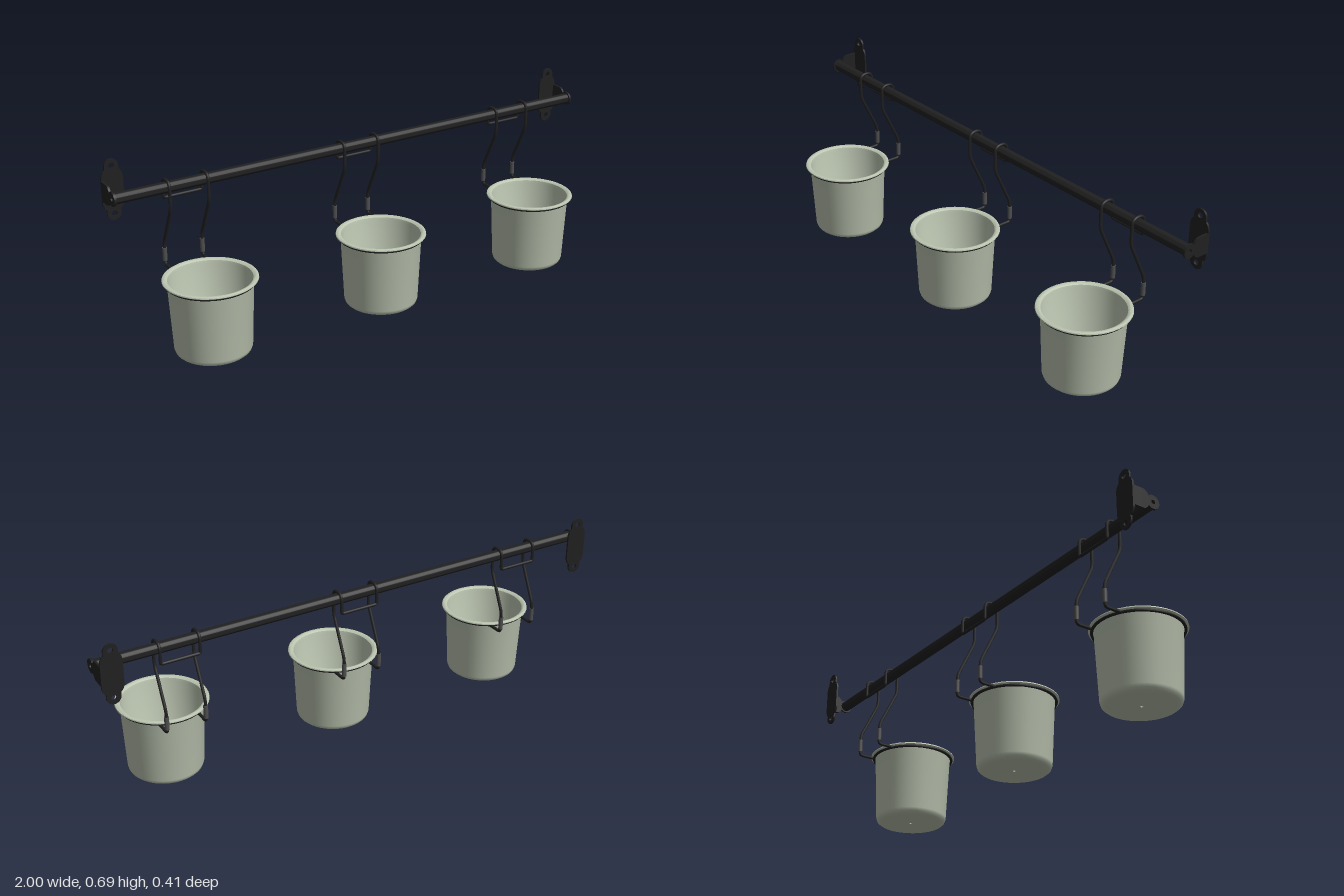
import * as THREE from 'three';
import { toCreasedNormals } from 'three/addons/utils/BufferGeometryUtils.js';

const black = new THREE.MeshStandardMaterial({ name: 'black metal', color: 0x202020 });
const grey = new THREE.MeshStandardMaterial({ name: 'grey sleeve', color: 0x4e4e4e });
const sage = new THREE.MeshStandardMaterial({ name: 'sage enamel', color: 0xbcc5b1 });

const ROD_Y = 0.582, ROD_Z = -0.12, RING_Y = 0.273, POT_Z = 0.038, HOOK_X = 0.074;

function add(parent, name, geometry, material, x = 0, y = 0, z = 0) {
  const mesh = new THREE.Mesh(geometry, material);
  mesh.name = name;
  mesh.position.set(x, y, z);
  parent.add(mesh);
  return mesh;
}

function lathe(profile, segments) {
  const points = profile.map(([r, y]) => new THREE.Vector2(r, y));
  return toCreasedNormals(new THREE.LatheGeometry(points, segments), 0.7);
}

// Polyline with rounded corners; each point is [x, y, z, cornerRadius]
function roundedPath(points) {
  const path = new THREE.CurvePath();
  const v = points.map(p => new THREE.Vector3(p[0], p[1], p[2]));
  let from = v[0];
  for (let i = 1; i < v.length - 1; i++) {
    const r = points[i][3];
    const a = v[i].clone().add(v[i - 1].clone().sub(v[i]).setLength(r));
    const b = v[i].clone().add(v[i + 1].clone().sub(v[i]).setLength(r));
    path.add(new THREE.LineCurve3(from, a));
    path.add(new THREE.QuadraticBezierCurve3(a, v[i], b));
    from = b;
  }
  path.add(new THREE.LineCurve3(from, v[v.length - 1]));
  return path;
}

function circleHole(shape, x, y, r) {
  shape.holes.push(new THREE.Path().absarc(x, y, r, 0, Math.PI * 2, true));
}

function plate(shape, depth) {
  return new THREE.ExtrudeGeometry(shape, { depth, bevelEnabled: false, curveSegments: 16 });
}

// Wall plate with two rounded screw tabs
function wallPlateShape() {
  const s = new THREE.Shape();
  s.moveTo(0.04, -0.045);
  s.lineTo(0.04, 0.045);
  s.quadraticCurveTo(0.036, 0.068, 0.026, 0.072);
  s.lineTo(0.026, 0.086);
  s.absarc(0, 0.086, 0.026, 0, Math.PI, false);
  s.lineTo(-0.026, 0.072);
  s.quadraticCurveTo(-0.036, 0.068, -0.04, 0.045);
  s.lineTo(-0.04, -0.045);
  s.quadraticCurveTo(-0.036, -0.068, -0.026, -0.072);
  s.lineTo(-0.026, -0.086);
  s.absarc(0, -0.086, 0.026, Math.PI, Math.PI * 2, false);
  s.lineTo(0.026, -0.072);
  s.quadraticCurveTo(0.036, -0.068, 0.04, -0.045);
  circleHole(s, 0, 0.088, 0.01);
  circleHole(s, 0, -0.088, 0.01);
  return s;
}

// Side arm: round eye around the rod end, flaring towards the wall
function armShape() {
  const s = new THREE.Shape();
  s.absarc(0, 0, 0.026, 0.75, Math.PI * 2 - 0.75, false);
  s.quadraticCurveTo(0.028, -0.037, 0.045, -0.037);
  s.lineTo(0.086, -0.037);
  s.lineTo(0.086, 0.037);
  s.lineTo(0.045, 0.037);
  s.quadraticCurveTo(0.028, 0.037, 0.019, 0.018);
  circleHole(s, 0, 0, 0.008);
  return s;
}

const potProfile = [
  [0.006, 0], [0.115, 0], [0.127, 0.003], [0.135, 0.01], [0.139, 0.022],
  [0.151, 0.268], [0.154, 0.276], [0.165, 0.276], [0.169, 0.279], [0.168, 0.283],
  [0.163, 0.286], [0.156, 0.285], [0.149, 0.28], [0.147, 0.27],
  [0.135, 0.024], [0.129, 0.011], [0.114, 0.006], [0.006, 0.006], [0.006, 0]
];

function hangingPot(x) {
  const group = new THREE.Group();
  group.name = 'hangingPot';
  group.position.x = x;
  add(group, 'pot', lathe(potProfile, 48), sage, 0, 0, POT_Z);

  // Wire ring under the rim
  const ring = new THREE.TorusGeometry(0.157, 0.0055, 8, 48).rotateX(Math.PI / 2);
  add(group, 'ring', ring, black, 0, RING_Y, POT_Z);

  // One bent wire: up from the ring, over the rod, across and back down
  const side = [
    [-HOOK_X, RING_Y, -0.1, 0], [-HOOK_X, RING_Y, -0.167, 0.014],
    [-HOOK_X, 0.357, -0.167, 0.02], [-HOOK_X, 0.51, -0.093, 0.02],
    [-HOOK_X, 0.609, -0.093, 0.027], [-HOOK_X, 0.609, -0.148, 0.027],
    [-HOOK_X, 0.534, -0.148, 0.008]
  ];
  const mirrored = side.map(([px, py, pz, r]) => [-px, py, pz, r]).reverse();
  const wire = new THREE.TubeGeometry(roundedPath([...side, ...mirrored]), 260, 0.006, 8);
  add(group, 'hookWire', wire, black);

  for (const s of [-1, 1]) {
    add(group, 'sleeve', new THREE.CylinderGeometry(0.0085, 0.0085, 0.05, 16), grey,
      s * HOOK_X, 0.312, -0.167);
  }
  return group;
}

export function createModel() {
  const model = new THREE.Group();
  model.name = 'hangingPotRail';

  // Hollow rod
  const rod = lathe([[0.0205, -0.992], [0.0205, 0.992], [0.016, 0.992], [0.016, -0.992], [0.0205, -0.992]], 32);
  add(model, 'rod', rod.rotateZ(Math.PI / 2), black, 0, ROD_Y, ROD_Z);

  // End brackets
  for (const s of [-1, 1]) {
    const bracket = new THREE.Group();
    bracket.name = 'bracket';
    const arm = plate(armShape(), 0.008).rotateY(Math.PI / 2);
    add(bracket, 'sideArm', arm, black, s > 0 ? 0.992 : -1, ROD_Y, ROD_Z);
    add(bracket, 'wallPlate', plate(wallPlateShape(), 0.007), black, s * 0.96, ROD_Y, -0.207);
    model.add(bracket);
  }

  for (const x of [-0.724, -0.016, 0.691]) model.add(hangingPot(x));
  return model;
}
